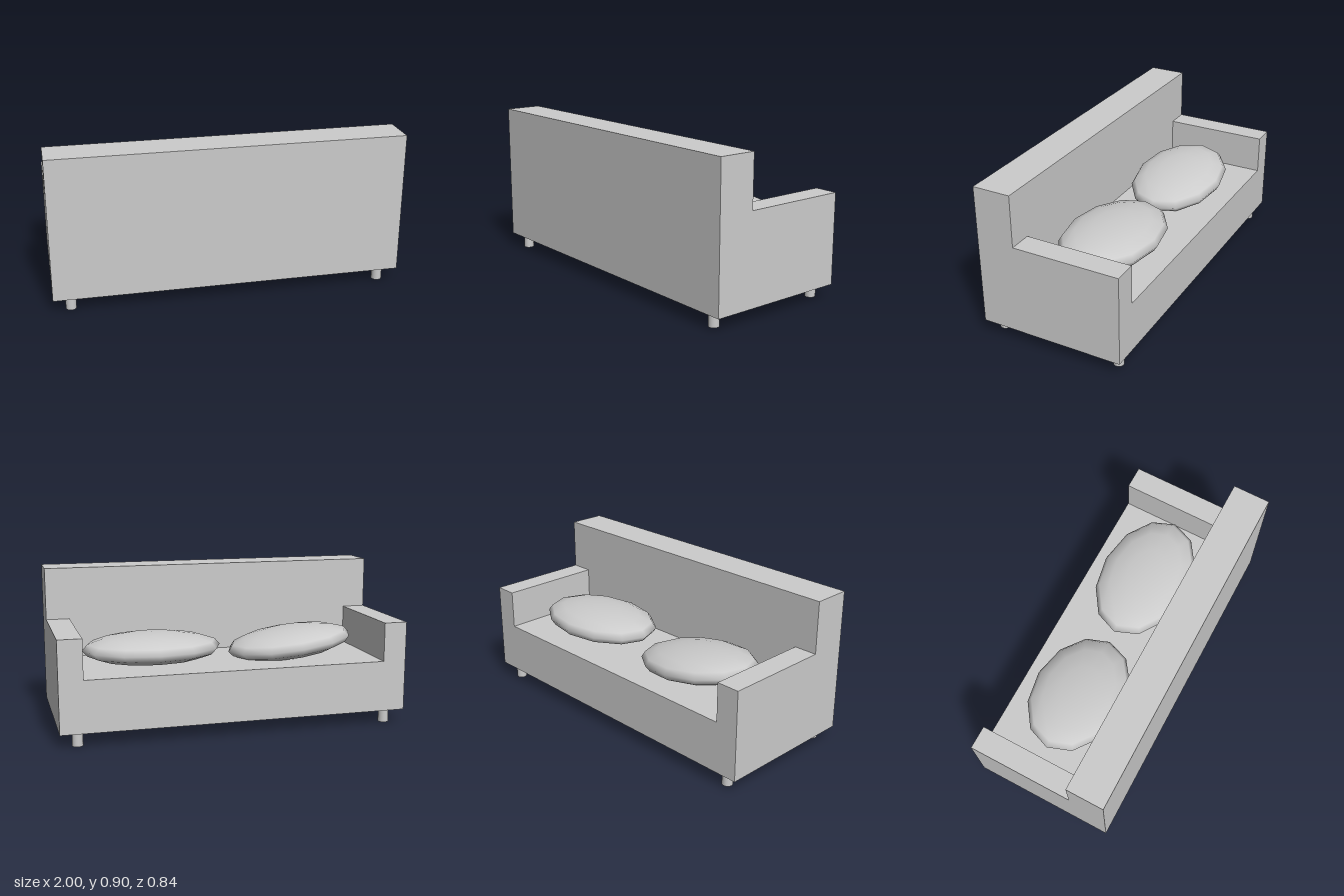
import * as THREE from 'three';

const fabric = new THREE.MeshStandardMaterial({ color: 0xcccccc });
fabric.name = 'light grey';

// Overall layout: the seat opens towards -z, the backrest stands at +z
const HALF_LENGTH = 1, FRONT = -0.42, BACK = 0.42, BACKREST_FRONT = 0.2;
const FLOOR_GAP = 0.08, SEAT_TOP = 0.375, ARM_TOP = 0.6, BACK_TOP = 0.9, ARM_INNER = 0.865;

export function createModel() {
  const sofa = new THREE.Group();
  sofa.name = 'sofa';

  const add = (name, geometry, x, y, z) => {
    const mesh = new THREE.Mesh(geometry, fabric);
    mesh.name = name;
    mesh.position.set(x, y, z);
    sofa.add(mesh);
    return mesh;
  };

  // Box given by its limits on each axis
  const block = (name, [x0, x1], [y0, y1], [z0, z1]) =>
    add(name, new THREE.BoxGeometry(x1 - x0, y1 - y0, z1 - z0),
      (x0 + x1) / 2, (y0 + y1) / 2, (z0 + z1) / 2);

  // Upholstered body
  block('backrest', [-HALF_LENGTH, HALF_LENGTH], [FLOOR_GAP, BACK_TOP], [BACKREST_FRONT, BACK]);
  block('seat', [-ARM_INNER, ARM_INNER], [FLOOR_GAP, SEAT_TOP], [FRONT, BACKREST_FRONT]);
  block('leftArm', [ARM_INNER, HALF_LENGTH], [FLOOR_GAP, ARM_TOP], [FRONT, BACKREST_FRONT]);
  block('rightArm', [-HALF_LENGTH, -ARM_INNER], [FLOOR_GAP, ARM_TOP], [FRONT, BACKREST_FRONT]);

  // Four round legs
  const legGeometry = new THREE.CylinderGeometry(0.03, 0.03, FLOOR_GAP, 20);
  for (const x of [-0.9, 0.9]) {
    for (const z of [-0.36, 0.36]) {
      add(z < 0 ? 'seatSideLeg' : 'backrestLeg', legGeometry, x, FLOOR_GAP / 2, z);
    }
  }

  // Two flattened cushions, one tipped slightly
  const cushionGeometry = new THREE.SphereGeometry(1, 12, 8);
  const cushion = (name, x, y, halfWidth, tilt) => {
    const mesh = add(name, cushionGeometry, x, y, -0.07);
    mesh.scale.set(halfWidth, 0.09, 0.272);
    mesh.rotation.z = tilt;
  };
  cushion('leftCushion', 0.427, 0.46, 0.403, 0);
  cushion('rightCushion', -0.407, 0.452, 0.38, -0.12);

  return sofa;
}
